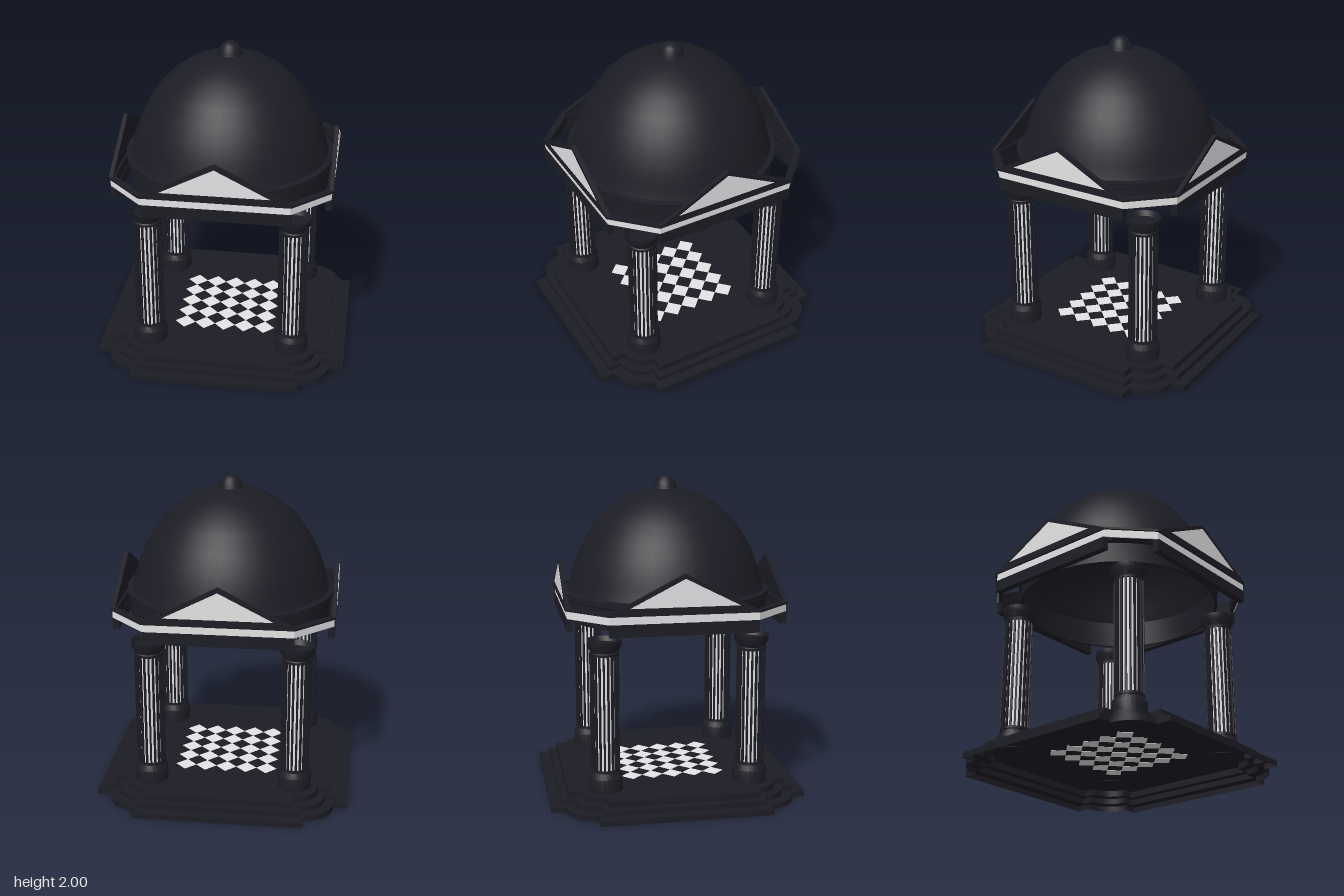
import * as THREE from 'three';
import { toCreasedNormals } from 'three/addons/utils/BufferGeometryUtils.js';

const dark = new THREE.MeshStandardMaterial({ color: 0x1c1c25, side: THREE.DoubleSide });
dark.name = 'charcoal';
const pale = new THREE.MeshStandardMaterial({ color: 0xe4e4e6, side: THREE.DoubleSide });
pale.name = 'pale stone';

function add(parent, name, geometry, material, x = 0, y = 0, z = 0) {
  const mesh = new THREE.Mesh(geometry, material);
  mesh.name = name;
  mesh.position.set(x, y, z);
  parent.add(mesh);
  return mesh;
}

const vectors = (points) => points.map(([x, y]) => new THREE.Vector2(x, y));

function lathe(points, segments, crease = 0.6) {
  return toCreasedNormals(new THREE.LatheGeometry(vectors(points), segments), crease);
}

// Square plan with a round lobe in each notched corner
function lobedSquare(half, notch, radius) {
  const corner = [[half, notch]];
  for (let i = 0; i <= 10; i++) {
    const a = (i / 10) * Math.PI / 2;
    corner.push([notch + radius * Math.cos(a), notch + radius * Math.sin(a)]);
  }
  corner.push([notch, half]);
  const points = [];
  for (let k = 0; k < 4; k++) {
    for (const [x, y] of corner) {
      points.push(new THREE.Vector2(x, y).rotateAround(new THREE.Vector2(), k * Math.PI / 2));
    }
  }
  return points;
}

// Upright wall following a closed plan outline
function outlineWall(outline, bottom, top) {
  const n = outline.length;
  const g = new THREE.PlaneGeometry(1, 1, n, 1);
  const p = g.attributes.position;
  for (let i = 0; i < p.count; i++) {
    const v = outline[(i % (n + 1)) % n];
    p.setXYZ(i, v.x, i <= n ? top : bottom, -v.y);
  }
  return toCreasedNormals(g, 0.5);
}

// Square ring with cut corners
function octagon(h, c) {
  return vectors([[h, -c], [h, c], [c, h], [-c, h], [-h, c], [-h, -c], [-c, -h], [c, -h]]);
}
function octagonRing(half, cut, innerHalf, innerCut, height) {
  const shape = new THREE.Shape(octagon(half, cut));
  shape.holes.push(new THREE.Path(octagon(innerHalf, innerCut)));
  const g = new THREE.ExtrudeGeometry(shape, { depth: height, bevelEnabled: false });
  return g.rotateX(-Math.PI / 2);
}

// Hollow stepped platform, open underneath
function makeBase() {
  const base = new THREE.Group();
  base.name = 'steppedBase';
  const steps = [
    { name: 'lowerStep', outline: lobedSquare(0.8, 0.53, 0.18), top: 0.035 },
    { name: 'middleStep', outline: lobedSquare(0.735, 0.5, 0.155), top: 0.07 },
    { name: 'upperStep', outline: lobedSquare(0.69, 0.47, 0.14), top: 0.11 },
  ];
  steps.forEach(({ name, outline, top }, i) => {
    add(base, name + 'Wall', outlineWall(outline, i ? steps[i - 1].top : 0, top), dark);
    const tread = new THREE.Shape(outline);
    if (i < 2) tread.holes.push(new THREE.Path(steps[i + 1].outline));
    add(base, name + 'Tread', new THREE.ShapeGeometry(tread).rotateX(-Math.PI / 2), dark, 0, top);
  });
  // Diagonal checkerboard paving
  const n = 5, pitch = 0.66 / n, size = pitch / Math.SQRT2;
  const tile = new THREE.BoxGeometry(size, 0.005, size).rotateY(Math.PI / 4);
  for (let i = 0; i < n; i++) {
    for (let j = 0; j < n; j++) {
      add(base, 'floorTile', tile, pale, (i - (n - 1) / 2) * pitch, 0.11, (j - (n - 1) / 2) * pitch);
    }
  }
  return base;
}

function makeColumn(x, z) {
  const column = new THREE.Group();
  column.name = 'column';
  column.position.set(x, 0, z);
  add(column, 'columnFoot', lathe([[0, 0.107], [0.106, 0.107], [0.106, 0.198], [0.084, 0.23],
    [0.09, 0.233], [0.09, 0.248], [0, 0.248]], 24), dark);
  add(column, 'columnCore', new THREE.CylinderGeometry(0.078, 0.078, 0.73, 40), pale, 0, 0.607, 0);
  // Ribs between the pale flutes
  const ribs = 20, rib = new THREE.BoxGeometry(0.012, 0.73, 0.02);
  for (let i = 0; i < ribs; i++) {
    const a = ((i + 0.5) / ribs) * Math.PI * 2;
    add(column, 'columnRib', rib, dark, Math.sin(a) * 0.08, 0.607, Math.cos(a) * 0.08).rotation.y = a;
  }
  // Capital with a dished top
  add(column, 'columnCapital', lathe([[0, 0.965], [0.09, 0.965], [0.09, 0.98], [0.084, 0.986],
    [0.106, 1.022], [0.106, 1.06], [0.1, 1.06], [0.082, 1.03], [0, 1.03]], 24), dark);
  return column;
}

function makeRoofSide(k) {
  const side = new THREE.Group();
  side.name = 'roofSide';
  side.rotation.y = k * Math.PI / 2;
  add(side, 'architrave', new THREE.BoxGeometry(0.9, 0.076, 0.04), dark, 0, 1.151, 0.66);
  // Gable plate with a pale triangular panel
  const gable = new THREE.Shape(vectors([[-0.45, 1.237], [0.45, 1.237], [0.45, 1.25], [0, 1.48], [-0.45, 1.25]]));
  add(side, 'pediment', new THREE.ExtrudeGeometry(gable, { depth: 0.026, bevelEnabled: false }), dark, 0, 0, 0.66);
  const panel = new THREE.Shape(vectors([[-0.33, 1.284], [0.33, 1.284], [0, 1.452]]));
  add(side, 'pedimentPanel', new THREE.ExtrudeGeometry(panel, { depth: 0.004, bevelEnabled: false }), pale, 0, 0, 0.684);
  return side;
}

function makeRoof() {
  const roof = new THREE.Group();
  roof.name = 'roof';
  add(roof, 'friezeBand', octagonRing(0.676, 0.45, 0.668, 0.446, 0.048), pale, 0, 1.189);
  add(roof, 'friezeBacking', octagonRing(0.669, 0.447, 0.645, 0.435, 0.05), dark, 0, 1.188);
  add(roof, 'corniceBand', octagonRing(0.687, 0.455, 0.645, 0.435, 0.013), dark, 0, 1.237);
  for (let k = 0; k < 4; k++) roof.add(makeRoofSide(k));
  // Open ring that carries the dome
  add(roof, 'drum', lathe([[0.625, 1.29], [0.625, 1.113], [0.642, 1.113], [0.642, 1.24],
    [0.66, 1.25], [0.66, 1.284], [0.625, 1.29]], 48), dark);
  add(roof, 'dome', lathe([[0.63, 1.284], [0.622, 1.305], [0.605, 1.37], [0.585, 1.44], [0.55, 1.53], [0.5, 1.622],
    [0.43, 1.722], [0.345, 1.803], [0.243, 1.87], [0.12, 1.914], [0, 1.926]], 40, 0.9), dark);
  add(roof, 'finial', lathe([[0.078, 1.915], [0.073, 1.93], [0.066, 1.955], [0.05, 1.981],
    [0.027, 1.996], [0, 2]], 24, 0.9), dark);
  return roof;
}

export function createModel() {
  const model = new THREE.Group();
  model.name = 'domedPavilion';
  model.add(makeBase());
  for (const x of [-0.457, 0.457]) for (const z of [-0.457, 0.457]) model.add(makeColumn(x, z));
  model.add(makeRoof());
  return model;
}
